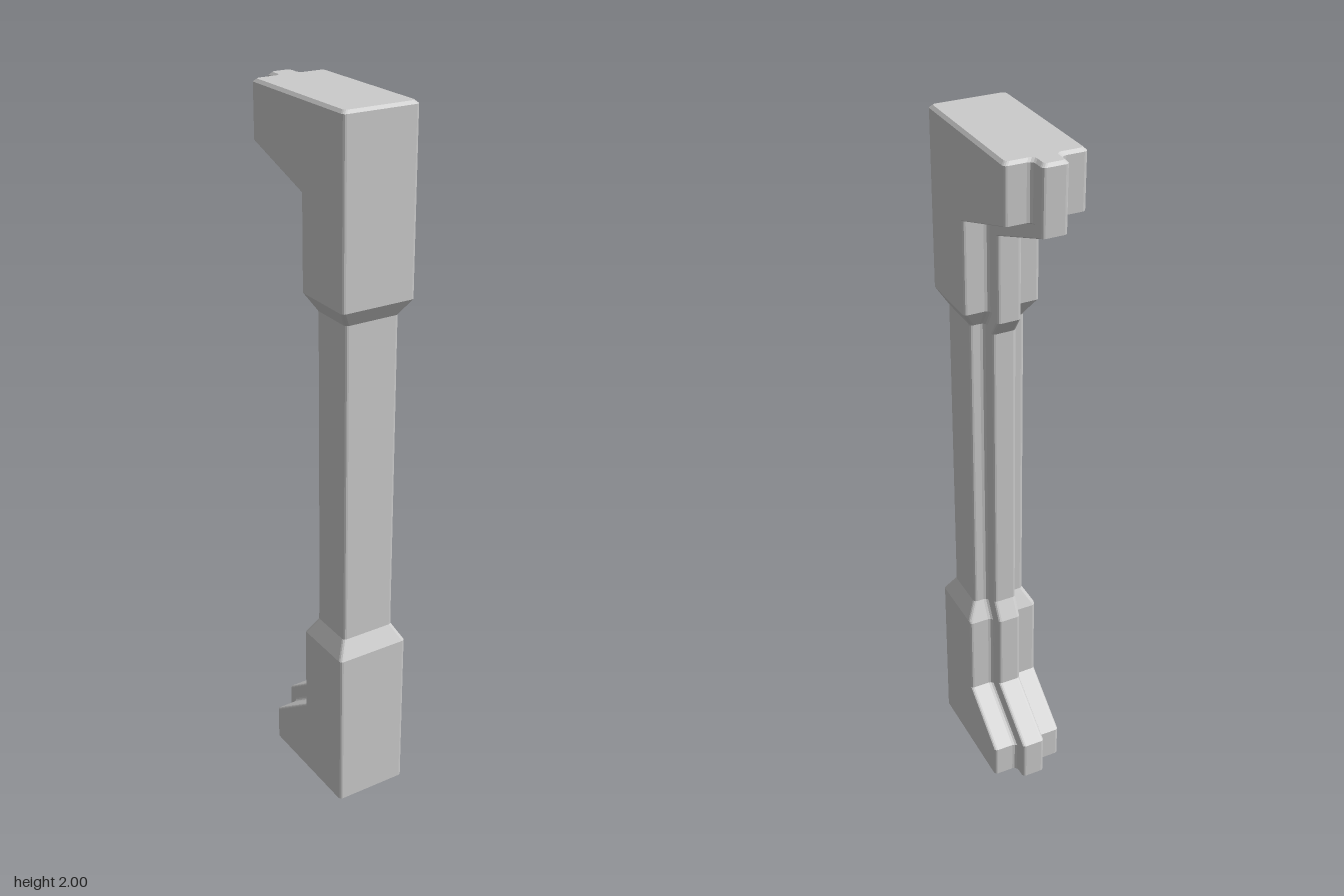
import * as THREE from 'three';
import { toCreasedNormals } from 'three/addons/utils/BufferGeometryUtils.js';

// Profiles as [y, value] pairs, from the foot upward
const HALF_WIDTH = [[0, 0.108], [0.48, 0.108], [0.53, 0.08], [1.46, 0.08], [1.505, 0.108], [2, 0.108]];
const FRONT = [[0, 0.238], [0.48, 0.238], [0.53, 0.21], [1.46, 0.21], [1.505, 0.238], [2, 0.238]];
const BACK = [[0, -0.12], [0.1, -0.12], [0.22, 0.045], [0.475, 0.045], [0.53, 0.075],
  [1.455, 0.075], [1.505, 0.045], [1.765, 0.045], [1.845, -0.19], [2, -0.19]];
const RIB = [[0, -0.166], [0.125, -0.166], [0.245, 0], [0.49, 0], [0.545, 0.03],
  [1.44, 0.03], [1.485, 0], [1.73, 0], [1.82, -0.238], [2, -0.238]];
const RIB_HALF = 0.035;
const BEVEL = 0.008;
const ARC = 3;

// Linear interpolation in a profile
function at(profile, y) {
  for (let i = 1; i < profile.length; i++) {
    const [y0, v0] = profile[i - 1], [y1, v1] = profile[i];
    if (y <= y1) return v0 + (v1 - v0) * (y - y0) / (y1 - y0);
  }
  return profile[profile.length - 1][1];
}

// Horizontal outline (x, z): rounded block with a rib along its back
function section(y, inset = 0) {
  const w = at(HALF_WIDTH, y) - inset, zf = at(FRONT, y) - inset;
  const zb = at(BACK, y) + inset, zt = at(RIB, y) + inset, t = RIB_HALF - inset;
  const half = [[t, zt, 0.01], [t, zb, 0.015], [w, zb, 0.01], [w, zf, 0.01]];
  const corners = [...half, ...half.slice().reverse().map(([x, z, r]) => [-x, z, r])];
  const n = corners.length, points = [];
  corners.forEach(([x, z, r], i) => {
    const p = new THREE.Vector2(x, z);
    const toward = (c) => new THREE.Vector2(c[0], c[1]).sub(p).normalize().multiplyScalar(r);
    const a = toward(corners[(i + n - 1) % n]), b = toward(corners[(i + 1) % n]);
    for (let k = 0; k <= ARC; k++) {
      const angle = (k / ARC) * Math.PI / 2;
      points.push(p.clone().addScaledVector(b, 1 - Math.cos(angle)).addScaledVector(a, 1 - Math.sin(angle)));
    }
  });
  return points;
}

// Skin between successive outlines, open at the foot
function loft(rings) {
  const n = rings[0].points.length, position = [], index = [];
  for (const { y, points } of rings) for (const p of points) position.push(p.x, y, p.y);
  for (let r = 0; r < rings.length - 1; r++) {
    for (let i = 0; i < n; i++) {
      const a = r * n + i, b = r * n + (i + 1) % n;
      index.push(a, b + n, b, a, a + n, b + n);
    }
  }
  const geometry = new THREE.BufferGeometry();
  geometry.setAttribute('position', new THREE.Float32BufferAttribute(position, 3));
  geometry.setIndex(index);
  return toCreasedNormals(geometry, 0.15);
}

export function createModel() {
  const group = new THREE.Group();
  group.name = 'pillar';
  const material = new THREE.MeshStandardMaterial({ color: 0xcccccc, side: THREE.DoubleSide });

  // Every height where a profile bends
  const heights = new Set([HALF_WIDTH, FRONT, BACK, RIB].flat().map(([y]) => y));
  heights.delete(2);
  heights.add(2 - BEVEL);
  const rings = [...heights].sort((a, b) => a - b).map((y) => ({ y, points: section(y) }));
  const topOutline = section(2, BEVEL);
  rings.push({ y: 2, points: topOutline });

  const shell = new THREE.Mesh(loft(rings), material);
  shell.name = 'pillarShell';

  // Flat top
  const shape = new THREE.Shape(topOutline.map((p) => new THREE.Vector2(p.x, -p.y)));
  const cap = new THREE.Mesh(new THREE.ShapeGeometry(shape).rotateX(-Math.PI / 2), material);
  cap.position.y = 2;
  cap.name = 'topFace';

  group.add(shell, cap);
  return group;
}
